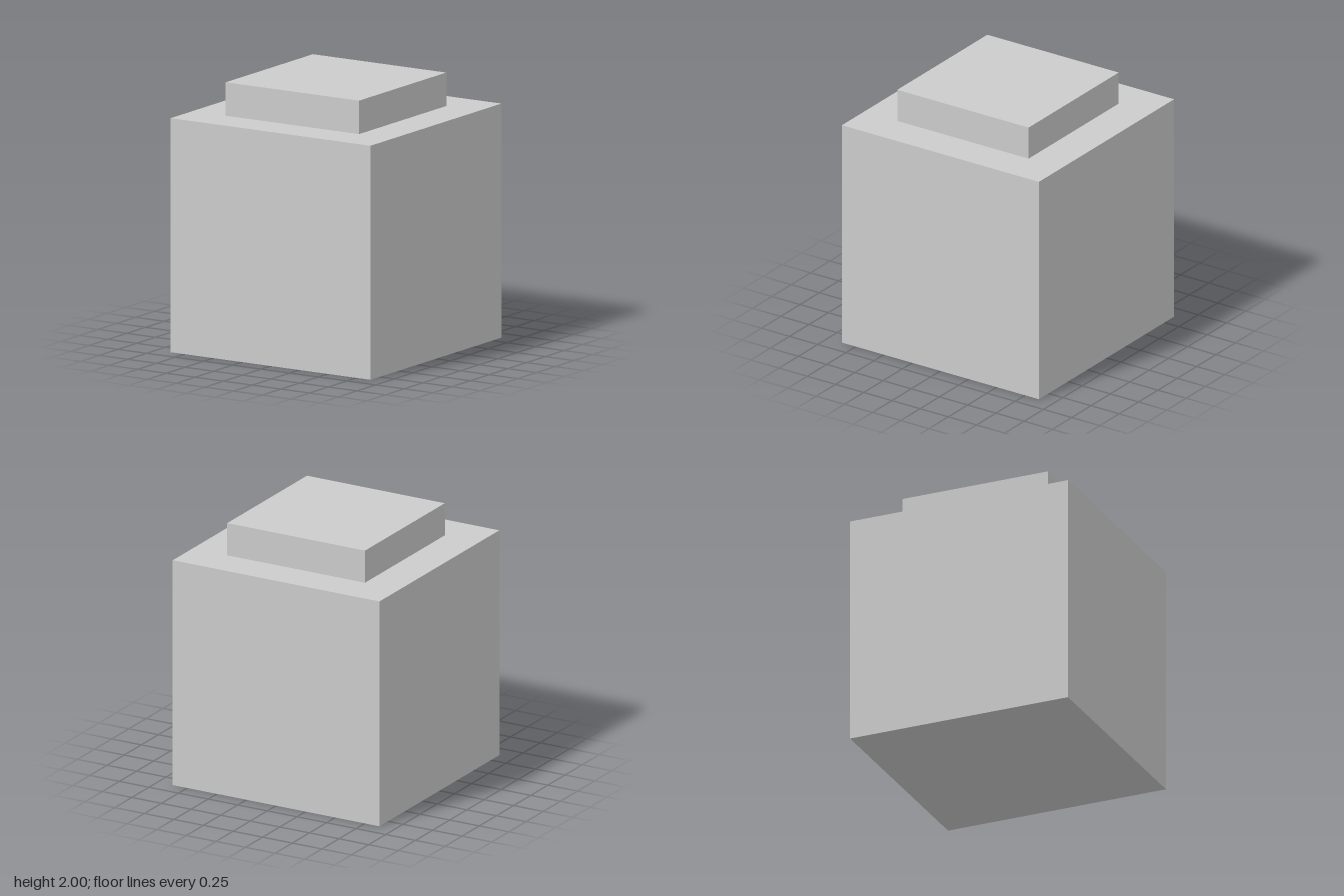
import * as THREE from 'three';

export function createModel() {
  const model = new THREE.Group();
  const material = new THREE.MeshStandardMaterial({ color: 0xcccccc, flatShading: true });

  // Square block standing with its underside at the given height
  function addBlock(name, width, height, bottom) {
    const mesh = new THREE.Mesh(new THREE.BoxGeometry(width, height, width), material);
    mesh.name = name;
    mesh.position.y = bottom + height / 2;
    model.add(mesh);
  }

  addBlock('body', 1.746, 1.75, 0);
  addBlock('cap', 1.164, 0.25, 1.75);

  return model;
}
